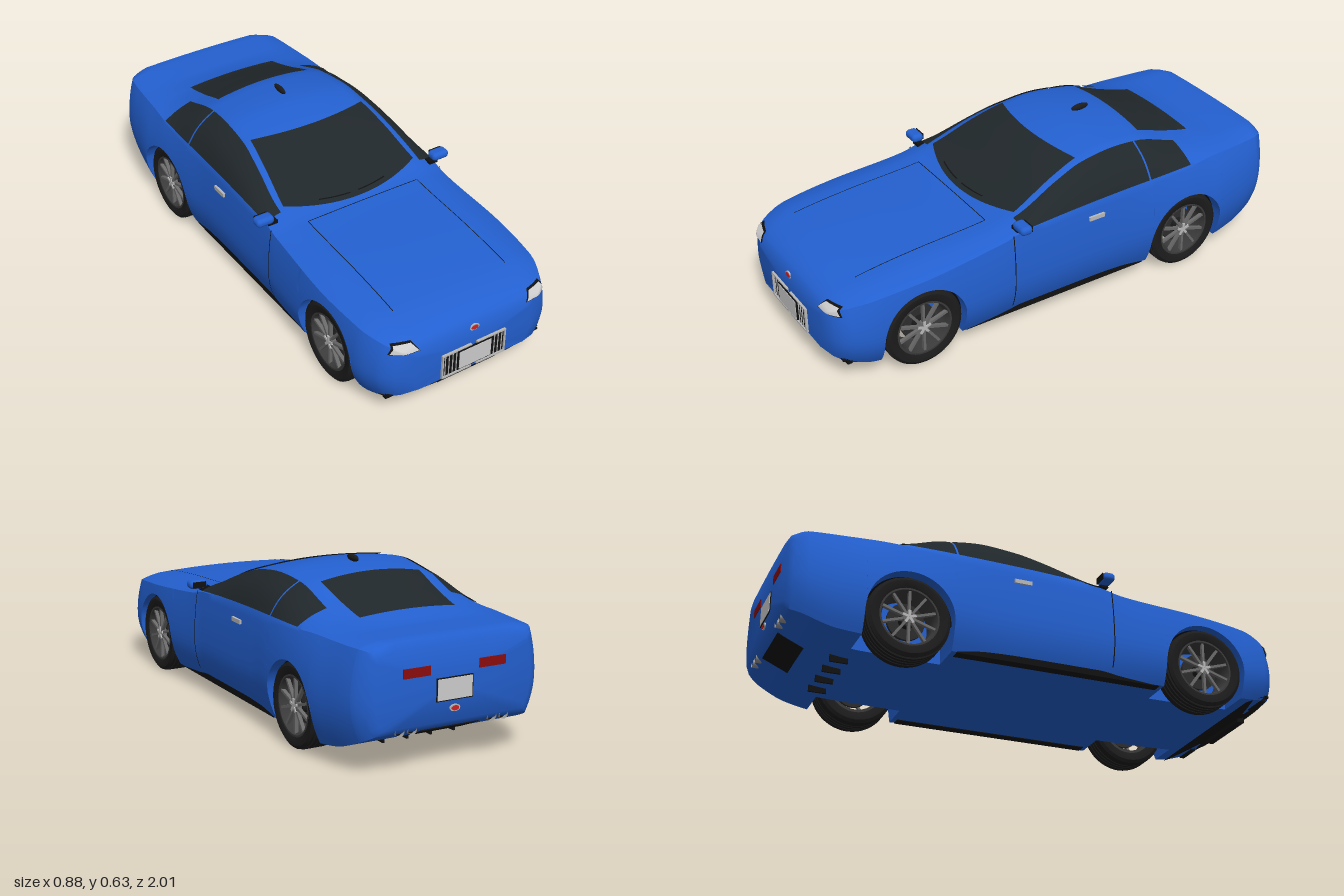
import * as THREE from 'three';
import { toCreasedNormals } from 'three/addons/utils/BufferGeometryUtils.js';
import { RoundedBoxGeometry } from 'three/addons/geometries/RoundedBoxGeometry.js';

const mat = (color, side = THREE.FrontSide) => new THREE.MeshStandardMaterial({ color, side });
const D = THREE.DoubleSide;
const blue = mat(0x2360d0), glass = mat(0x20272a, D), black = mat(0x111111, D), rubber = mat(0x1c1c1c),
  silver = mat(0xb8b8b8), lamp = mat(0xe4e6e6, D), red = mat(0x8a0c0c), badgeRed = mat(0xd02020), grey = mat(0x6a6a6a);
const lerp = THREE.MathUtils.lerp;

// Body stations: z, floor y, max half width, belt y, belt x, rail y, rail x, centre y
const ST = [
  [.99, .12, .26, .285, .25, .298, .17, .305], [.97, .11, .33, .315, .305, .328, .22, .335],
  [.92, .088, .375, .335, .35, .355, .27, .365], [.82, .07, .405, .355, .385, .38, .3, .39],
  [.6, .064, .416, .375, .4, .405, .3, .412], [.29, .062, .405, .405, .388, .427, .31, .43],
  [.2, .062, .4, .425, .387, .452, .31, .458], [0, .062, .4, .434, .387, .535, .285, .555],
  [-.12, .062, .4, .437, .387, .57, .268, .59], [-.25, .062, .402, .44, .387, .583, .26, .606],
  [-.4, .062, .412, .443, .388, .568, .25, .595], [-.58, .064, .421, .448, .385, .508, .25, .538],
  [-.7, .066, .42, .453, .375, .478, .27, .496], [-.82, .08, .405, .452, .365, .47, .28, .475],
  [-.94, .125, .38, .452, .35, .472, .28, .475], [-.985, .15, .345, .442, .32, .465, .26, .47],
  [-1, .17, .32, .42, .3, .44, .25, .445],
];
const slope = (i, k) => (ST[i + 1][k] - ST[i][k]) / (ST[i + 1][0] - ST[i][0]);
function tangent(i, k) {
  if (i === 0) return slope(0, k);
  if (i === ST.length - 1) return slope(i - 1, k);
  const a = slope(i - 1, k), b = slope(i, k);
  return a * b <= 0 ? 0 : 2 * a * b / (a + b);
}
// Smooth, overshoot-free section parameters at any z
function at(z) {
  z = THREE.MathUtils.clamp(z, -1, .99);
  let i = 0;
  while (i < ST.length - 2 && ST[i + 1][0] > z) i++;
  const h = ST[i + 1][0] - ST[i][0], t = (z - ST[i][0]) / h, t2 = t * t, t3 = t2 * t;
  const [, floor, w, by, bx, ry, rx, top] = ST[i].map((a, k) => (2 * t3 - 3 * t2 + 1) * a + (3 * t2 - 2 * t3) * ST[i + 1][k]
    + h * ((t3 - 2 * t2 + t) * tangent(i, k) + (t3 - t2) * tangent(i + 1, k)));
  return { floor, w, by, bx, ry, rx, top };
}
function sideX(y, z) {
  const s = at(z), t = (y - s.floor) / (s.by - s.floor);
  return t < .45 ? s.w * (1 - .1 * (1 - t / .45) ** 2) : s.w + (s.bx - s.w) * ((t - .45) / .55) ** 2;
}
// Point between belt (t = 0) and roof rail (t = 1)
function pillar(t, z) {
  const s = at(z), b = Math.sin(Math.PI * t) * .15 * (s.ry - s.by);
  return [lerp(s.bx, s.rx, t) + b * .7, lerp(s.by, s.ry, t) + b * .6];
}
function topY(x, z) {
  const s = at(z), a = Math.abs(x);
  if (a <= s.rx) return s.top - (s.top - s.ry) * (a / s.rx) ** 2;
  return lerp(s.ry, s.by, Math.min(1, (a - s.rx) / (s.bx - s.rx)));
}
// Front surface z for a given x, y
function frontZ(x, y) {
  let lo = .5, hi = .99;
  for (let i = 0; i < 22; i++) {
    const z = (lo + hi) / 2, s = at(z);
    const inside = y > s.floor && (y <= s.by ? x < sideX(y, z) : x < s.bx && y < topY(x, z));
    if (inside) lo = z; else hi = z;
  }
  return lo;
}

const WHEELS = [.64, -.56], AXLE = .16, ARCH = .17;
function sillY(z, floor) {
  for (const c of WHEELS) if (Math.abs(z - c) < ARCH) return AXLE + Math.sqrt(ARCH ** 2 - (z - c) ** 2);
  return floor;
}
function section(z) {
  const s = at(z), low = sillY(z, s.floor), inX = Math.min(.24, sideX(s.floor, z) - .02);
  const half = [[0, s.floor], [inX, s.floor], [inX, low]];
  for (let i = 0; i < 14; i++) { const y = lerp(low, s.by, i / 14); half.push([sideX(y, z), y]); }
  for (let i = 0; i < 6; i++) half.push(pillar(i / 6, z));
  for (let i = 0; i <= 10; i++) { const x = s.rx * (1 - i / 10); half.push([x, topY(x, z)]); }
  return [...half, ...half.slice(1, -1).reverse().map(([x, y]) => [-x, y])];
}
function bodyGeometry() {
  const zs = ST.map(r => r[0]);
  for (let i = 1; i < 100; i++) zs.push(.99 - 1.99 * i / 100);
  for (const c of WHEELS) {
    for (let i = 0; i <= 24; i++) zs.push(c + (ARCH - 1e-5) * Math.cos(Math.PI * i / 24));
    zs.push(c + ARCH + 1e-4, c - ARCH - 1e-4);
  }
  zs.sort((a, b) => b - a);
  const rings = zs.map(section), n = rings[0].length, pos = [], idx = [];
  rings.forEach((r, i) => r.forEach(([x, y]) => pos.push(x, y, zs[i])));
  for (let i = 0; i < zs.length - 1; i++) for (let j = 0; j < n; j++) {
    const a = i * n + j, b = i * n + (j + 1) % n;
    idx.push(a, a + n, b, b, a + n, b + n);
  }
  const last = (zs.length - 1) * n, c = zs.length * n;
  pos.push(0, .21, zs[0], 0, .3, -1);
  for (let j = 0; j < n; j++) idx.push(c, j, (j + 1) % n, c + 1, last + (j + 1) % n, last + j);
  const g = new THREE.BufferGeometry();
  g.setAttribute('position', new THREE.Float32BufferAttribute(pos, 3));
  g.setIndex(idx);
  return toCreasedNormals(g, .7);
}

export function createModel() {
  const car = new THREE.Group();
  car.name = 'car';
  const add = (name, geo, m, x = 0, y = 0, z = 0, parent = car) => {
    const o = new THREE.Mesh(geo, m);
    o.name = name; o.position.set(x, y, z); parent.add(o);
    return o;
  };
  const box = (name, m, w, h, d, x, y, z, parent) => add(name, new THREE.BoxGeometry(w, h, d), m, x, y, z, parent);
  // Thin panel lying on the body; f(u, v) gives a point for u, v in 0..1
  const patch = (name, m, f, nu = 16, nv = 16) => {
    const g = new THREE.PlaneGeometry(1, 1, nu, nv), p = g.attributes.position;
    for (let i = 0; i < p.count; i++) p.setXYZ(i, ...f(p.getX(i) + .5, p.getY(i) + .5));
    g.computeVertexNormals();
    return add(name, g, m);
  };
  const onTop = (x, z, e = .004) => [x, topY(x, z) + e, z];

  add('body', bodyGeometry(), blue);

  // Glass
  const screen = (u, v, e) => {
    const k = 2 * u - 1;
    return onTop(k * lerp(.3, .258, v), lerp(.265 - .07 * k * k, -.07 - .04 * k * k, v), e);
  };
  patch('windscreen', glass, (u, v) => screen(u, v, .005), 24, 24);
  patch('rearWindow', glass, (u, v) => onTop((2 * u - 1) * lerp(.2, .212, v), lerp(-.7, -.44, v), .005), 20, 20);
  for (const [a, b] of [[.06, .28], [.34, .56]])
    patch('wiper', black, (u, v) => screen(lerp(a, b, u) + .17, .05 + .015 * v, .01), 8, 1);

  // Bonnet shut lines
  for (const s of [-1, 1]) patch('bonnetSeam', black, (u, v) => onTop(s * (.249 + .003 * u), lerp(.29, .84, v), .002), 1, 40);
  patch('bonnetRearSeam', black, (u, v) => onTop(lerp(-.25, .25, u), .289 + .003 * v, .002), 24, 1);

  for (const s of [1, -1]) {
    for (const [name, a, b] of [['doorWindow', .21, -.375], ['quarterWindow', -.383, -.58]])
      patch(name, glass, (u, v) => {
        const z = lerp(a, b, u), [x, y] = pillar(lerp(.04, .93, v), z);
        return [s * (x + .004), y + .003, z];
      }, 24, 8);
    patch('doorSeam', black, (u, v) => {
      const y = lerp(.1, .42, v), z = .249 + .004 * u;
      return [s * (sideX(y, z) + .002), y, z];
    }, 1, 20);
    box('doorHandle', silver, .012, .016, .07, s * (sideX(.38, -.12) + .003), .38, -.12);
    box('sill', black, .04, .026, .82, s * .35, .072, .04);

    // Mirror
    const mirror = new THREE.Group();
    mirror.name = 'mirror'; car.add(mirror);
    add('mirrorShell', new RoundedBoxGeometry(.075, .035, .05, 4, .016), blue, s * .403, .456, .222, mirror);
    box('mirrorGlass', black, .055, .024, .004, s * .403, .456, .197, mirror);
    box('mirrorArm', black, .04, .014, .03, s * .37, .437, .222, mirror);

    // Headlight with dark surround
    const light = (name, m, grow, e) => patch(name, m, (u, v) => {
      const x = lerp(lerp(.24 - grow, .342 + grow, u), lerp(.262 - grow, .325 + grow, u), v);
      const y = lerp(.306 - grow, .333 + grow, v);
      return [s * x, y, frontZ(x, y) + e];
    }, 14, 8);
    light('headlightSurround', black, .004, .004);
    light('headlight', lamp, 0, .008);

    // Grille half
    const half = new THREE.Group();
    half.name = 'grilleHalf'; half.position.set(s * .077, .179, .99); car.add(half);
    box('grilleBack', black, .12, .1, .004, 0, 0, .001, half);
    for (const y of [-.05, .05]) box('grilleFrame', silver, .13, .006, .012, 0, y, .003, half);
    for (const x of [-.062, .062]) box('grilleFrame', silver, .006, .1, .012, x, 0, .003, half);
    for (let i = -3; i <= 3; i++) box('grilleBar', silver, .003, .096, .006, i * .0165, 0, .003, half);

    // Rear lamps and twin tailpipes
    box('tailLight', red, .11, .034, .01, s * .155, .36, -.998);
    for (const x of [.165, .215]) {
      const pipe = add('tailpipe', new THREE.CylinderGeometry(.018, .018, .1, 20, 1, true), mat(0x9a9a9a, D), s * x, .157, -.945);
      pipe.rotation.x = Math.PI / 2;
      add('tailpipeCore', new THREE.CircleGeometry(.017, 20), black, s * x, .157, -.98);
    }
    box('cornerIntake', black, .1, .035, .02, s * .29, .1, .925);
  }

  // Plates and badges
  for (const [s, y, z] of [[1, .185, 1], [-1, .285, -1]]) {
    box('plateFrame', black, .15, .084, .006, 0, y, z);
    box('plate', mat(0xc8c8c4), .142, .076, .006, 0, y, z + s * .002);
    const by = s > 0 ? .3 : .215, bz = s > 0 ? .985 : -1;
    for (const [name, m, r, d] of [['badgeRim', silver, .021, .012], ['badge', badgeRed, .015, .016]]) {
      const b = add(name, new THREE.CylinderGeometry(r, r, d, 28), m, 0, by, bz);
      b.rotation.x = Math.PI / 2; b.scale.z = .6;
    }
  }

  // Lower front and rear trim
  patch('splitter', black, (u, v) => {
    const k = 2 * u - 1;
    return [.35 * k, lerp(.062, .108, v), lerp(.84, .985 - .045 * k ** 4, v)];
  }, 24, 2);
  box('splitterLip', black, .68, .007, .012, 0, .105, .945);
  box('lowerIntake', black, .26, .026, .03, 0, .09, .945);
  const diffuser = box('diffuser', black, .24, .008, .11, 0, .121, -.925);
  diffuser.rotation.x = .42;
  for (const x of [-.15, -.05, .05, .15]) box('diffuserFin', black, .008, .03, .07, x, .062, -.75);

  // Roof aerial
  add('aerial', new THREE.SphereGeometry(1, 20, 12), rubber, 0, .617, -.31).scale.set(.01, .014, .04);

  // Wheels
  const lathe = pts => new THREE.LatheGeometry(pts.map(p => new THREE.Vector2(...p)), 48).rotateZ(-Math.PI / 2);
  const tread = [];
  for (const y of [-.03, -.01, .01, .03]) tread.push([.16, y - .007], [.16, y + .007], [.153, y + .008], [.153, y + .011]);
  const tyreGeo = toCreasedNormals(lathe([[.112, -.052], [.12, -.057], [.145, -.058], [.157, -.05],
    ...tread, [.157, .05], [.145, .058], [.12, .057], [.112, .052]]), .6);
  const rimGeo = toCreasedNormals(lathe([[.1, -.05], [.114, -.05], [.114, .054], [.107, .054], [.1, .035], [.1, -.05]]), .5);
  for (const z of WHEELS) for (const s of [1, -1]) {
    const wheel = new THREE.Group();
    wheel.name = 'wheel'; wheel.position.set(s * .338, AXLE, z);
    if (s < 0) wheel.rotation.y = Math.PI;
    car.add(wheel);
    add('tyre', tyreGeo, rubber, 0, 0, 0, wheel);
    add('rim', rimGeo, mat(0x3a3a3a, D), 0, 0, 0, wheel);
    const disc = (name, m, r, d, x) => add(name, new THREE.CylinderGeometry(r, r, d, 32).rotateZ(Math.PI / 2), m, x, 0, 0, wheel);
    disc('brakeDisc', mat(0x2c2c2c), .072, .012, 0);
    disc('axle', rubber, .03, .1, -.02);
    disc('hub', grey, .024, .02, .04);
    for (let i = 0; i < 10; i++) {
      const a = i * Math.PI / 5;
      box('spoke', grey, .014, .086, .01, .042, .062 * Math.cos(a), .062 * Math.sin(a), wheel).rotation.x = a;
      if (i % 2 === 0) box('hubStar', silver, .006, .026, .01, .051, .014 * Math.cos(a), .014 * Math.sin(a), wheel).rotation.x = a;
    }
    // Arch liner
    const liner = new THREE.CylinderGeometry(.167, .167, .13, 32, 1, true, 0, Math.PI).rotateZ(Math.PI / 2);
    const l = add('archLiner', liner, black, s * .305, AXLE, z);
    l.rotation.x = new THREE.Vector3().fromBufferAttribute(liner.attributes.position, 16).y > 0 ? 0 : Math.PI;
  }
  return car;
}
